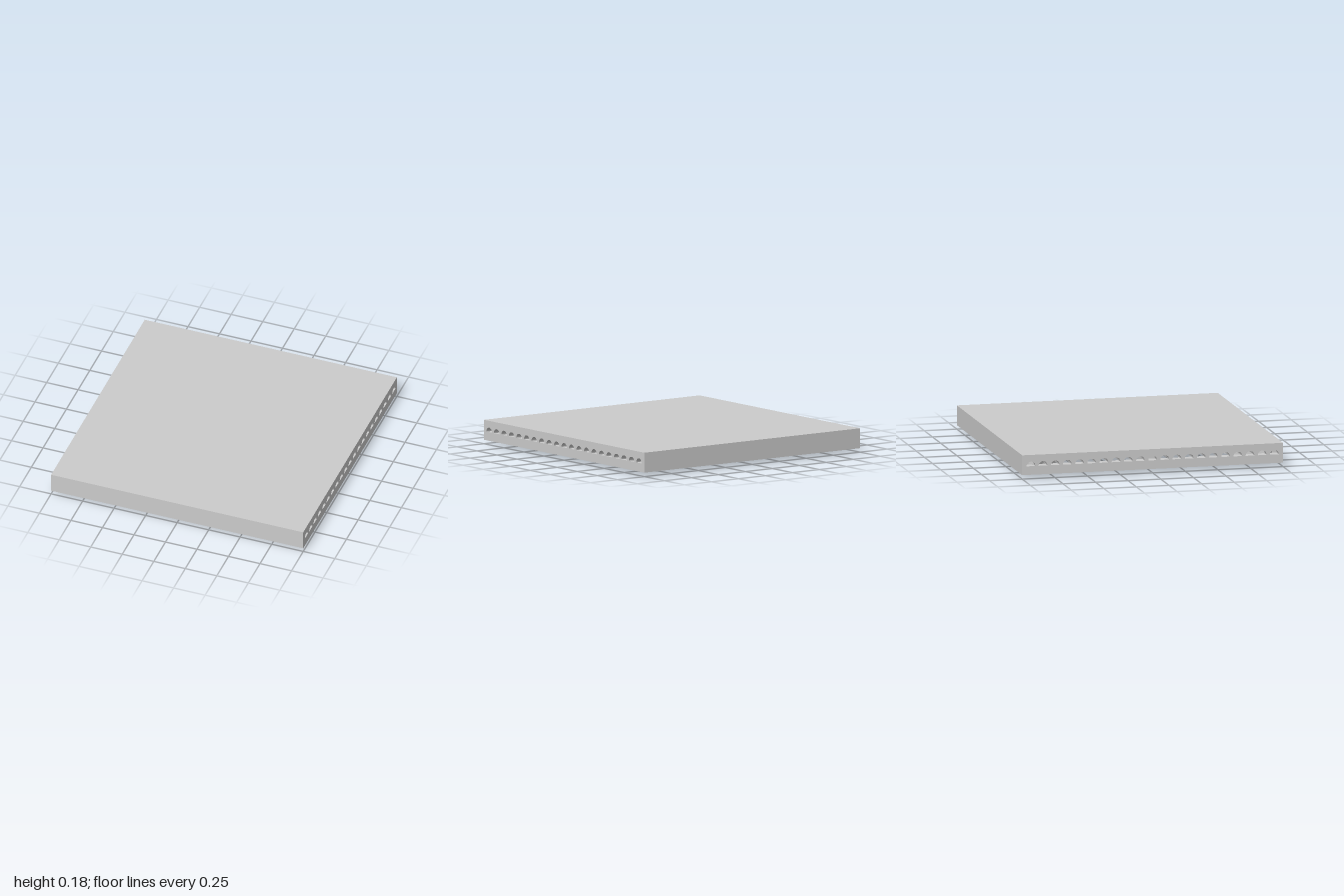
import * as THREE from 'three';
import { toCreasedNormals } from 'three/addons/utils/BufferGeometryUtils.js';

const material = new THREE.MeshStandardMaterial({ color: 0xcccccc });
const TOP = 0.18, FLOOR = 0.03, FLUTE = 0.095; // main heights
const PITCH = 1.8667 / 20, RADIUS = 0.034, INNER = 0.93;

function add(parent, name, geometry, x = 0, y = 0, z = 0) {
  const mesh = new THREE.Mesh(geometry, material);
  mesh.name = name;
  mesh.position.set(x, y, z);
  parent.add(mesh);
  return mesh;
}

// Box given by its centre in x and z and its bottom and top heights
function block(parent, name, w, d, y0, y1, x = 0, z = 0) {
  return add(parent, name, new THREE.BoxGeometry(w, y1 - y0, d), x, (y0 + y1) / 2, z);
}

// Square ring lying flat
function squareRing(outer, inner, height) {
  const square = (T, r) => new T([[-r, -r], [r, -r], [r, r], [-r, r]].map(p => new THREE.Vector2(...p)));
  const shape = square(THREE.Shape, outer);
  shape.holes.push(square(THREE.Path, inner));
  return new THREE.ExtrudeGeometry(shape, { depth: height, bevelEnabled: false }).rotateX(-Math.PI / 2);
}

// Slab with half-round flutes along x, open at both ends
function deckGeometry() {
  const s = new THREE.Shape();
  s.moveTo(-1, TOP);
  s.lineTo(-1, FLUTE);
  for (let i = -10; i <= 10; i++) {
    s.lineTo(i * PITCH - RADIUS, FLUTE);
    s.absarc(i * PITCH, FLUTE, RADIUS, Math.PI, 0, true);
  }
  s.lineTo(1, FLUTE);
  s.lineTo(1, TOP);
  const g = new THREE.ExtrudeGeometry(s, { depth: 2, bevelEnabled: false, curveSegments: 12 });
  g.translate(0, 0, -1).rotateY(Math.PI / 2);
  return toCreasedNormals(g, 0.6);
}

// Spoke along local +x with a bolted bracket at its outer end
function makeRib(length, bracketAt) {
  const rib = new THREE.Group();
  rib.name = 'rib';
  block(rib, 'ribBeam', length - 0.1, 0.09, 0.06, 0.13, (length + 0.1) / 2);
  block(rib, 'endBracket', 0.07, 0.11, 0.052, 0.07, bracketAt);
  for (const side of [-1, 1]) {
    add(rib, 'bolt', new THREE.CylinderGeometry(0.011, 0.011, 0.014, 6), bracketAt, 0.047, side * 0.035);
  }
  block(rib, 'hubBracket', 0.07, 0.11, 0.045, 0.07, 0.19);
  return rib;
}

export function createModel() {
  const model = new THREE.Group();
  model.name = 'flutedPanel';
  add(model, 'flutedDeck', deckGeometry());

  // Perimeter frame
  const rim = 1 - INNER;
  for (const s of [-1, 1]) {
    block(model, 'sideRim', rim, 2, FLOOR, FLUTE, s * (1 - rim / 2));
    block(model, 'endRim', 2 * INNER, rim, FLOOR, FLUTE, 0, s * (1 - rim / 2));
    block(model, 'fluteStop', 2 * INNER, 0.04, FLUTE - 0.01, 0.13, 0, s * 0.953);
  }

  // Eight spokes: four straight and four diagonal
  for (let i = 0; i < 8; i++) {
    const rib = i % 2 ? makeRib(INNER * Math.SQRT2, 1.19) : makeRib(INNER, 0.88);
    rib.rotation.y = i * Math.PI / 4;
    model.add(rib);
  }

  // Stepped square hub
  const hub = new THREE.Group();
  hub.name = 'hub';
  model.add(hub);
  block(hub, 'hubCore', 0.28, 0.28, 0.05, 0.13);
  add(hub, 'hubOuterRing', squareRing(0.15, 0.11, 0.03), 0, 0.032, 0);
  add(hub, 'hubInnerRing', squareRing(0.08, 0.05, 0.02), 0, 0.036, 0);

  // Hanging eye below the hub
  const eye = new THREE.Shape();
  eye.moveTo(-0.028, 0);
  eye.lineTo(0.028, 0);
  eye.lineTo(0.028, 0.055);
  eye.lineTo(-0.028, 0.055);
  const hole = new THREE.Path();
  hole.absarc(0, 0.015, 0.009, 0, Math.PI * 2, true);
  eye.holes.push(hole);
  const eyeGeometry = new THREE.ExtrudeGeometry(eye, { depth: 0.026, bevelEnabled: false });
  add(hub, 'hangingEye', toCreasedNormals(eyeGeometry, 0.7), 0, 0, -0.013);
  return model;
}
